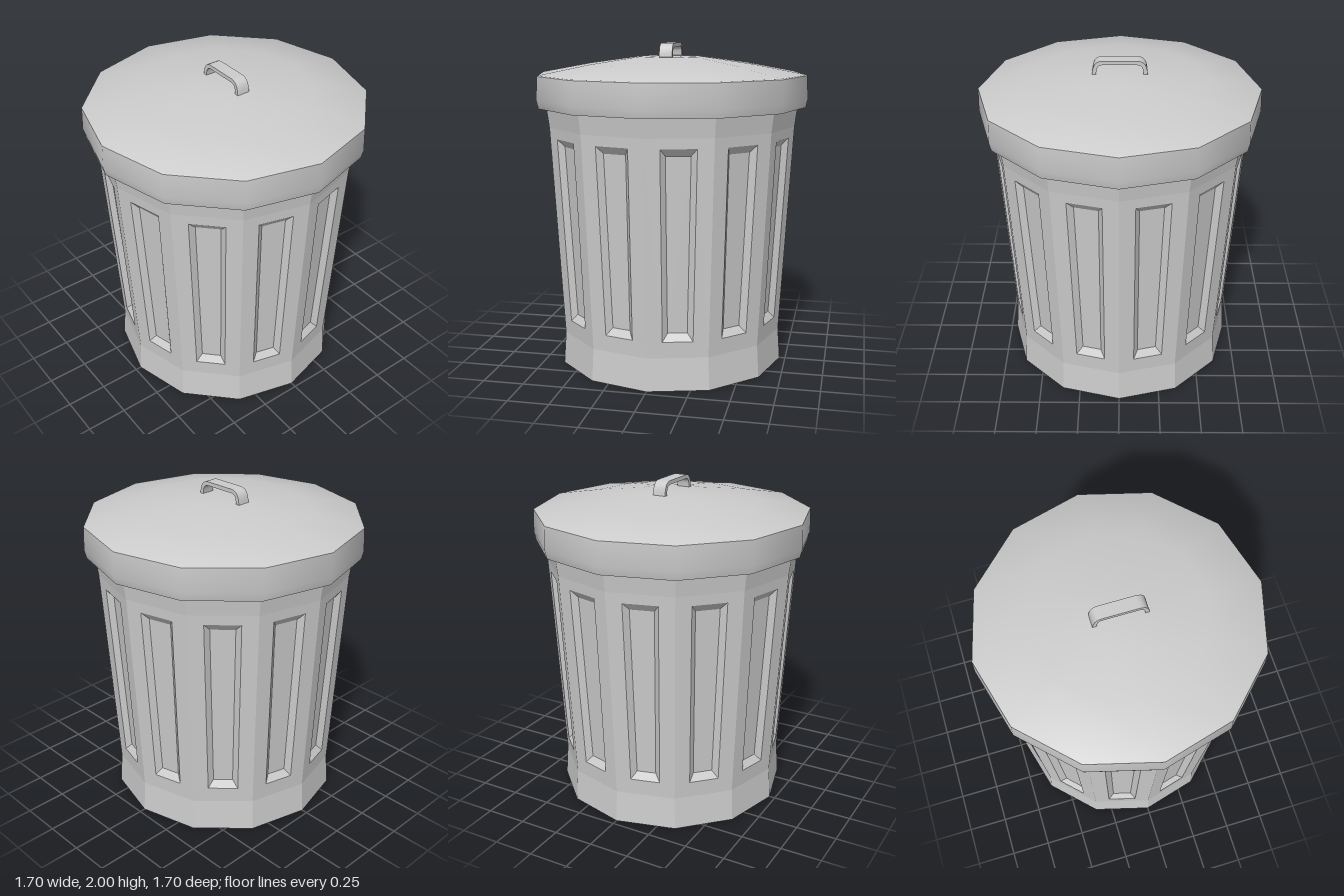
import * as THREE from 'three';
import { toCreasedNormals } from 'three/addons/utils/BufferGeometryUtils.js';

const SIDES = 12;
const HALF = Math.PI / SIDES;

// Body outline: [radius at the corners, height]
const OUTLINE = [[0.714, 0], [0.7, 0.2], [0.772, 1.5], [0.788, 1.62], [0.79, 1.75]];
const PANEL_ROW = 1; // outline row that carries the pressed panels

function addQuad(out, a, b, c, d) {
  for (const p of [a, b, c, a, c, d]) out.push(p.x, p.y, p.z);
}

// Strip of four quads between two rectangles
function addFrame(out, outer, inner) {
  for (let i = 0; i < 4; i++) {
    const j = (i + 1) % 4;
    addQuad(out, outer[i], outer[j], inner[j], inner[i]);
  }
}

function bodyGeometry() {
  const out = [];
  const [r0, y0] = OUTLINE[PANEL_ROW];
  const [r1, y1] = OUTLINE[PANEL_ROW + 1];
  const radiusAt = (y) => r0 + (r1 - r0) * (y - y0) / (y1 - y0);

  for (let s = 0; s < SIDES; s++) {
    const a = HALF * (2 * s + 1);
    // Point on this side: t along the side, sunk inwards by depth
    const point = (r, y, t, depth = 0) => {
      const n = r * Math.cos(HALF) - depth;
      return new THREE.Vector3(
        n * Math.sin(a) + t * Math.cos(a), y, n * Math.cos(a) - t * Math.sin(a));
    };
    const rect = (yb, tb, yt, tt, depth) => [
      point(radiusAt(yb), yb, -tb, depth), point(radiusAt(yb), yb, tb, depth),
      point(radiusAt(yt), yt, tt, depth), point(radiusAt(yt), yt, -tt, depth),
    ];

    for (let k = 0; k < OUTLINE.length - 1; k++) {
      const [rb, yb] = OUTLINE[k];
      const [rt, yt] = OUTLINE[k + 1];
      const wb = rb * Math.sin(HALF);
      const wt = rt * Math.sin(HALF);
      if (k === PANEL_ROW) {
        // Flat surround, bevel and sunken floor of the panel
        const rim = rect(0.3, 0.09, 1.44, 0.104, 0);
        const floor = rect(0.345, 0.058, 1.395, 0.072, 0.032);
        addFrame(out, rect(yb, wb, yt, wt, 0), rim);
        addFrame(out, rim, floor);
        addQuad(out, ...floor);
      } else {
        addQuad(out, point(rb, yb, -wb), point(rb, yb, wb), point(rt, yt, wt), point(rt, yt, -wt));
      }
    }
  }
  const geo = new THREE.BufferGeometry();
  geo.setAttribute('position', new THREE.Float32BufferAttribute(out, 3));
  geo.computeVertexNormals();
  return geo;
}

function lidGeometry() {
  const profile = [
    [0.78, 1.72], [0.805, 1.615], [0.836, 1.615], [0.848, 1.665], [0.842, 1.808],
    [0.835, 1.813], [0.52, 1.872], [0.2, 1.917], [0, 1.92],
  ].map(([r, y]) => new THREE.Vector2(r, y));
  return toCreasedNormals(new THREE.LatheGeometry(profile, SIDES), 0.6);
}

// Flat strap bent into a bracket
function handleGeometry() {
  const w = 0.165, top = 2, foot = 1.9, t = 0.024, r = 0.065;
  const shape = new THREE.Shape();
  shape.moveTo(w, foot);
  shape.lineTo(w - 0.004, top - r);
  shape.quadraticCurveTo(w - 0.012, top, w - r, top);
  shape.lineTo(-w + r, top);
  shape.quadraticCurveTo(-w + 0.012, top, -w + 0.004, top - r);
  shape.lineTo(-w, foot);
  shape.lineTo(-w + t, foot);
  shape.lineTo(-w + t + 0.004, top - r);
  shape.quadraticCurveTo(-w + t + 0.008, top - t, -w + r, top - t);
  shape.lineTo(w - r, top - t);
  shape.quadraticCurveTo(w - t - 0.008, top - t, w - t - 0.004, top - r);
  shape.lineTo(w - t, foot);
  const geo = new THREE.ExtrudeGeometry(shape, { depth: 0.08, bevelEnabled: false, curveSegments: 5 });
  geo.translate(0, 0, -0.04);
  return toCreasedNormals(geo, 0.6);
}

export function createModel() {
  const model = new THREE.Group();
  model.name = 'trashCan';
  const smooth = new THREE.MeshStandardMaterial({ color: 0xcccccc });
  const flat = new THREE.MeshStandardMaterial({ color: 0xcccccc, flatShading: true });
  const add = (name, geo, mat) => {
    const mesh = new THREE.Mesh(geo, mat);
    mesh.name = name;
    model.add(mesh);
    return mesh;
  };

  add('body', bodyGeometry(), flat);
  // Closed underside
  add('base', new THREE.CircleGeometry(OUTLINE[0][0], SIDES), flat).rotation.x = Math.PI / 2;
  add('lid', lidGeometry(), smooth);
  add('lidHandle', handleGeometry(), smooth);
  return model;
}
